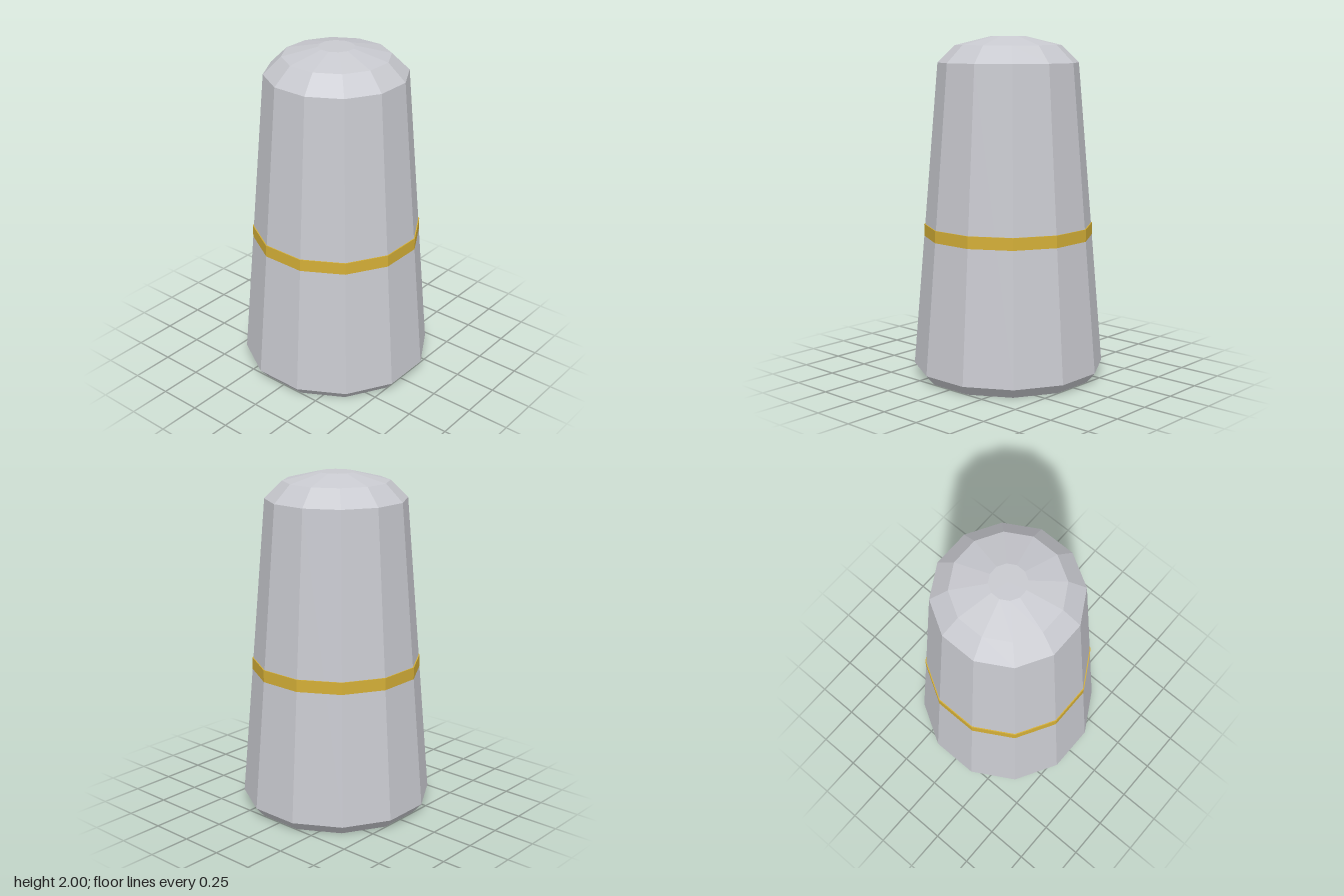
import * as THREE from 'three';

const SIDES = 12;
const HALF_STEP = Math.PI / SIDES;

// Twelve-sided faceted solid from [distance to flat side, height] pairs, listed bottom to top
function faceted(name, profile, material) {
  const points = profile.map(([r, y]) => new THREE.Vector2(r / Math.cos(HALF_STEP), y));
  const geometry = new THREE.LatheGeometry(points, SIDES, HALF_STEP).toNonIndexed();
  geometry.computeVertexNormals();
  const mesh = new THREE.Mesh(geometry, material);
  mesh.name = name;
  return mesh;
}

export function createModel() {
  const silver = new THREE.MeshStandardMaterial({ color: 0xc8c9cf, flatShading: true });
  silver.name = 'silver';
  const gold = new THREE.MeshStandardMaterial({ color: 0xd4af37, flatShading: true });
  gold.name = 'gold';

  const model = new THREE.Group();
  model.name = 'taperedCapsule';

  // Tapered body with chamfered foot and domed cap
  model.add(faceted('body', [
    [0, 0], [0.495, 0], [0.545, 0.06], [0.397, 1.85], [0.298, 1.95], [0.1, 2], [0, 2],
  ], silver));

  // Straight ring that emerges from the tapered wall
  model.add(faceted('band', [
    [0.46, 0.8], [0.481, 0.8], [0.481, 0.905], [0.46, 0.905],
  ], gold));

  return model;
}
